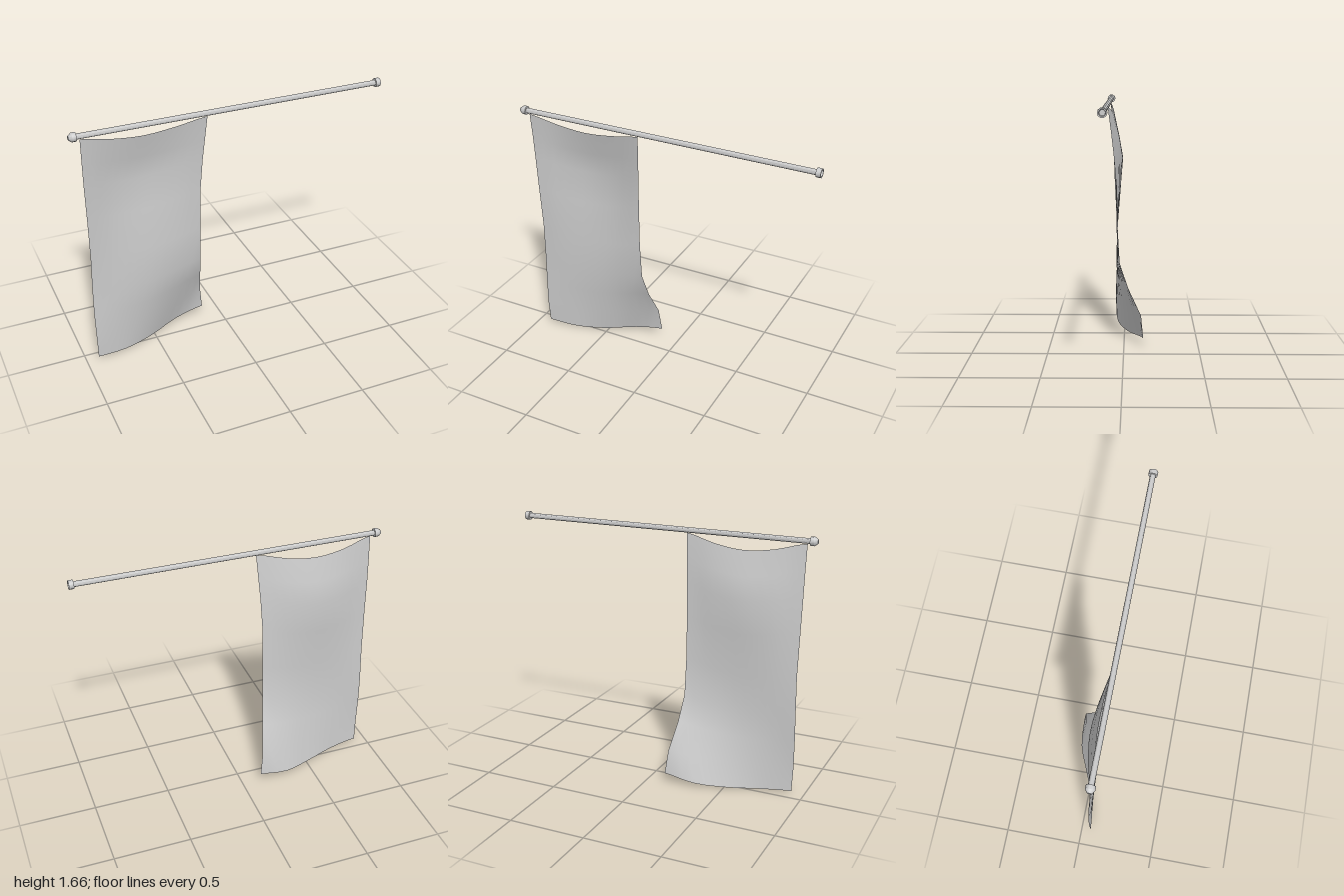
import * as THREE from 'three';
import { toCreasedNormals } from 'three/addons/utils/BufferGeometryUtils.js';

const POLE_Y = 1.63, POLE_Z = 0.1;
const material = new THREE.MeshStandardMaterial({ color: 0xcccccc });
const clothMaterial = new THREE.MeshStandardMaterial({ color: 0xcccccc, side: THREE.DoubleSide });

// Turned part lying along x; profile is [radius, x] from left to right
function turned(name, profile) {
  const points = profile.map(([r, x]) => new THREE.Vector2(r, x));
  const geometry = toCreasedNormals(new THREE.LatheGeometry(points, 10), 0.7);
  geometry.rotateZ(-Math.PI / 2);
  const mesh = new THREE.Mesh(geometry, material);
  mesh.name = name;
  mesh.position.set(0, POLE_Y, POLE_Z);
  return mesh;
}

// Smooth curve through evenly spaced values, sampled at u in 0..1
function sample(values, u) {
  const curve = new THREE.SplineCurve(values.map((v, i) => new THREE.Vector2(i, v)));
  return curve.getPoint(u).y;
}

// Hanging cloth: one cross-section per height, [side height, left x, right x, depths across]
function createCloth() {
  const rows = [
    [1.61, -0.935, -0.16, [0.105, 0.08, 0.07, 0.08, 0.105]],
    [1.45, -0.932, -0.17, [0.093, 0.055, 0.035, 0.05, 0.085]],
    [1.30, -0.93, -0.18, [0.085, 0.035, 0.01, 0.028, 0.068]],
    [1.08, -0.925, -0.19, [0.078, 0.045, 0.028, 0.03, 0.05]],
    [0.80, -0.92, -0.192, [0.065, 0.055, 0.05, 0.045, 0.043]],
    [0.55, -0.925, -0.188, [0.06, 0.06, 0.05, 0.035, 0.028]],
    [0.38, -0.927, -0.17, [0.063, 0.055, 0.03, -0.008, -0.03]],
    [0.20, -0.925, -0.14, [0.07, 0.045, 0, -0.065, -0.115]],
    [0.04, -0.92, -0.122, [0.063, 0.035, -0.035, -0.115, -0.13]],
  ];
  const topEdge = [1.612, 1.565, 1.545, 1.568, 1.612];
  const bottomEdge = [0.017, 0.004, 0.003, 0.027, 0.065];
  const columns = 12;
  const geometry = new THREE.PlaneGeometry(1, 1, columns, rows.length - 1);
  const position = geometry.attributes.position;
  rows.forEach(([height, left, right, depths], j) => {
    const t = (height - 0.04) / 1.57;
    for (let i = 0; i <= columns; i++) {
      const u = i / columns;
      const y = THREE.MathUtils.lerp(sample(bottomEdge, u), sample(topEdge, u), t);
      position.setXYZ(j * (columns + 1) + i, THREE.MathUtils.lerp(left, right, u), y, sample(depths, u));
    }
  });
  geometry.computeVertexNormals();
  const mesh = new THREE.Mesh(geometry, clothMaterial);
  mesh.name = 'cloth';
  return mesh;
}

export function createModel() {
  const group = new THREE.Group();
  group.name = 'bannerOnPole';
  group.add(
    turned('pole', [[0, -0.97], [0.017, -0.97], [0.017, 0.98], [0, 0.98]]),
    // Bevelled cap on one end, hollow collar on the other
    turned('bevelledCap', [[0, -1], [0.013, -1], [0.028, -0.98], [0.028, -0.955], [0.016, -0.955]]),
    turned('hollowCap', [[0.016, 0.97], [0.028, 0.97], [0.028, 1], [0.02, 1], [0.017, 0.98]]),
    createCloth(),
  );
  return group;
}
